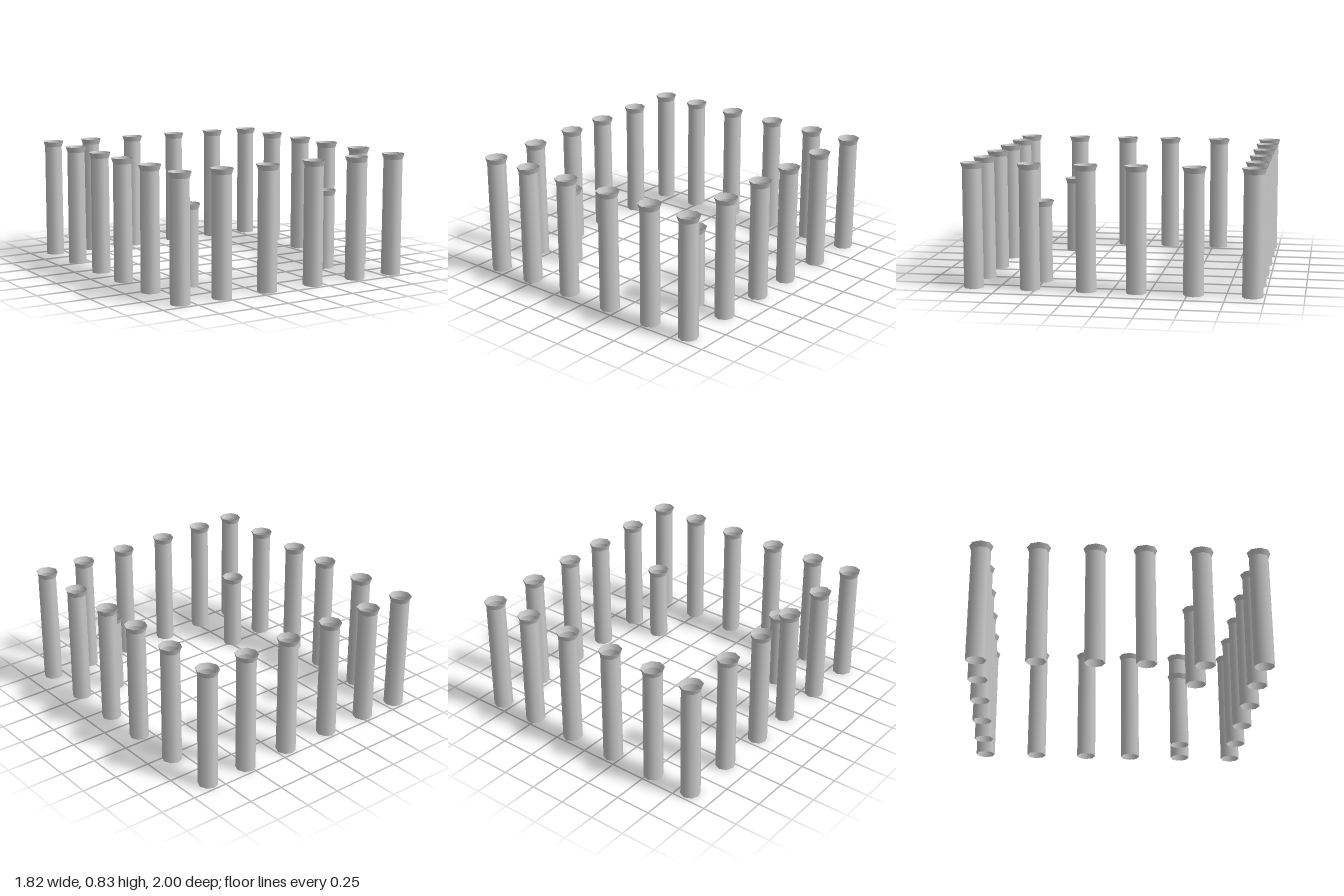
import * as THREE from 'three';

const SIDES = 8;
const COLLAR = 0.037;

const material = new THREE.MeshStandardMaterial({ color: 0xcccccc, side: THREE.DoubleSide });

// Open, slightly tapered octagonal tube with a flared collar at its top
function makeColumn(name, x, z, height) {
  const column = new THREE.Group();
  column.name = name;

  const shaftHeight = height - COLLAR;
  const shaft = new THREE.Mesh(
    new THREE.CylinderGeometry(0.063, 0.065, shaftHeight, SIDES, 1, true), material);
  shaft.name = 'shaft';
  shaft.position.y = shaftHeight / 2;

  const collar = new THREE.Mesh(
    new THREE.CylinderGeometry(0.076, 0.063, COLLAR, SIDES, 1, true), material);
  collar.name = 'flaredCollar';
  collar.position.y = height - COLLAR / 2;

  column.add(shaft, collar);
  column.position.set(x, 0, z);
  column.scale.z = 1.045;
  return column;
}

export function createModel() {
  const model = new THREE.Group();
  model.name = 'colonnade';

  const xs = [-0.834, -0.531, -0.186, 0.175, 0.522, 0.832];
  const zs = [-0.54, -0.167, 0.163, 0.538];
  const tall = 0.83;

  // Front and back rows, corners included
  for (const x of xs) {
    model.add(makeColumn('frontColumn', x, 0.918, tall));
    model.add(makeColumn('backColumn', x, -0.92, tall));
  }

  // Side rows between the corners
  for (const z of zs) {
    model.add(makeColumn('rightColumn', xs[0], z, tall));
    model.add(makeColumn('leftColumn', xs[5], z, tall));
  }

  // Two shorter columns standing inside the court
  model.add(makeColumn('innerRightColumn', -0.531, 0.511, 0.55));
  model.add(makeColumn('innerLeftColumn', 0.567, 0.511, 0.55));

  return model;
}
